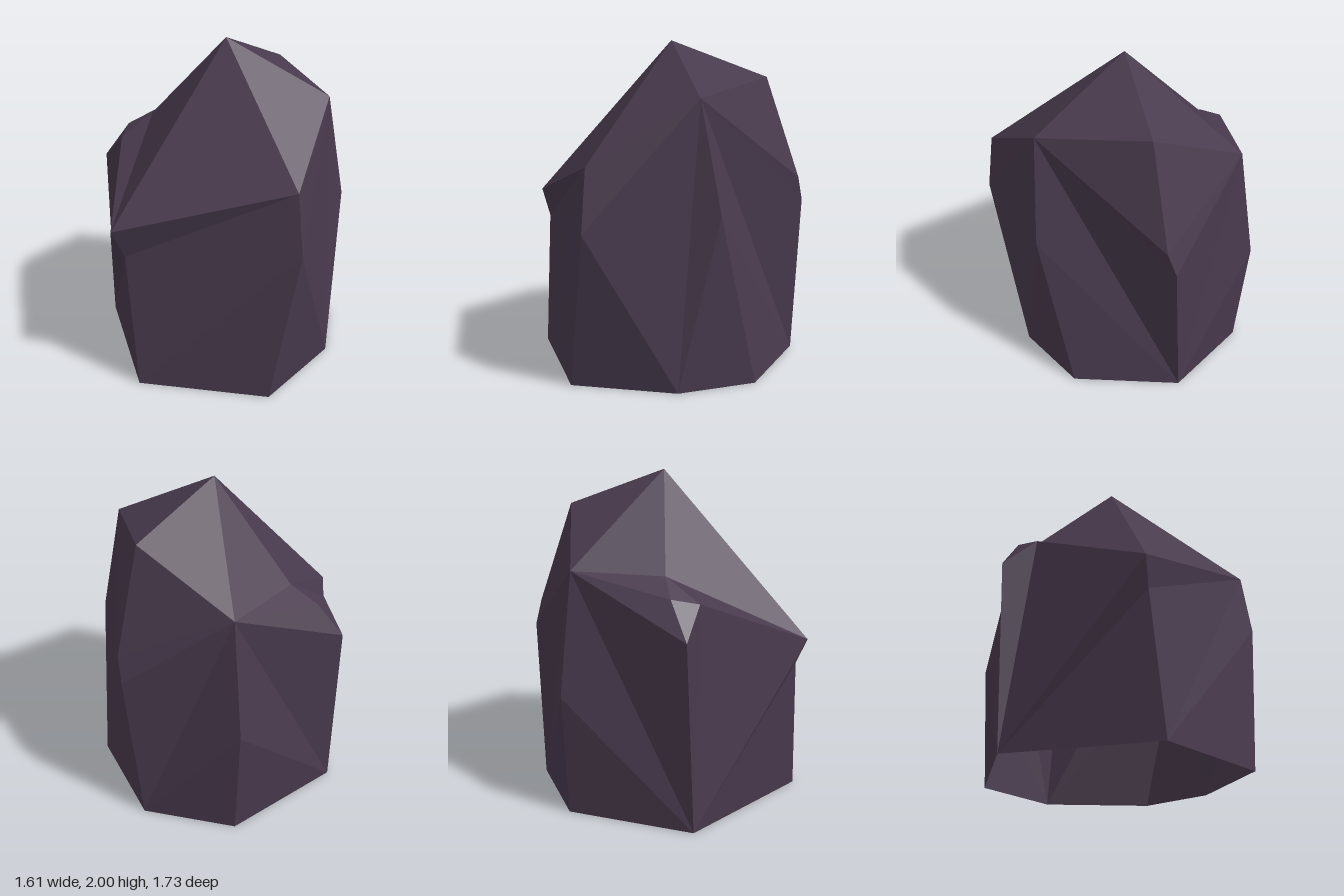
import * as THREE from 'three';

// Named corners of the boulder
const P = {
  apex: [-0.015, 2, -0.04],
  // upper shoulders
  u1: [0.56, 1.68, -0.3], u2: [-0.02, 1.78, -0.63], u3: [-0.605, 1.485, -0.46],
  // chipped left corner
  l1: [-0.53, 1.46, 0.07], l2: [-0.69, 1.37, 0.13], l3: [-0.61, 1.33, 0.28], l4: [-0.805, 1.16, 0.24],
  // front and right ridges
  f1: [-0.15, 1.02, 0.865], f2: [-0.11, 0.85, 0.8], r1: [0.755, 1.31, 0.31], r2: [0.805, 0.94, 0.325],
  // back and side bulges
  m: [0.61, 1.03, -0.43], k1: [-0.06, 1.16, -0.84], k2: [-0.11, 1.01, -0.865], w: [-0.715, 0.76, -0.51],
  // ground outline, counter-clockwise from the front
  b1: [-0.03, 0, 0.815], b2: [0.68, 0, 0.44], b3: [0.69, 0, -0.2], b4: [0.46, 0, -0.625],
  b5: [-0.18, 0, -0.82], b6: [-0.67, 0, -0.5], b7: [-0.77, 0, 0.28],
};

// Facets of each region, corners counter-clockwise from outside; the underside is open
const REGIONS = {
  crown: 'apex f1 r1, apex r1 u1, apex u1 u2, apex u2 u3, apex u3 l1, apex l1 f1',
  leftChip: 'l1 l3 f1, l1 l2 l3, l2 l4 l3, u3 l2 l1, u3 l4 l2',
  leftSide: 'l3 b7 f1, l4 b7 l3, u3 b7 l4, u3 w b7, w b6 b7',
  frontSide: 'f1 b7 f2, f2 b7 b1, f1 f2 r1, f2 b1 r1, r1 b1 r2, r2 b1 b2',
  rightSide: 'r1 r2 u1, r2 b2 b3, r2 b3 u1, u1 b3 m, m b3 b4',
  backSide: 'u1 m b5, m b4 b5, u1 b5 k2, u1 k2 k1, u1 k1 u2, u2 k1 u3, k1 k2 u3, k2 b5 u3, u3 b5 w, w b5 b6',
};

function facets(list) {
  const positions = list.split(/[ ,]+/).flatMap((name) => P[name]);
  const geometry = new THREE.BufferGeometry();
  geometry.setAttribute('position', new THREE.Float32BufferAttribute(positions, 3));
  geometry.computeVertexNormals(); // unshared corners give flat facets
  return geometry;
}

export function createModel() {
  const stone = new THREE.MeshStandardMaterial({ color: 0x483a4d, side: THREE.DoubleSide });
  stone.name = 'dark purple stone';
  stone.flatShading = true;

  const boulder = new THREE.Group();
  boulder.name = 'boulder';
  for (const [name, list] of Object.entries(REGIONS)) {
    const mesh = new THREE.Mesh(facets(list), stone);
    mesh.name = name;
    boulder.add(mesh);
  }
  return boulder;
}
